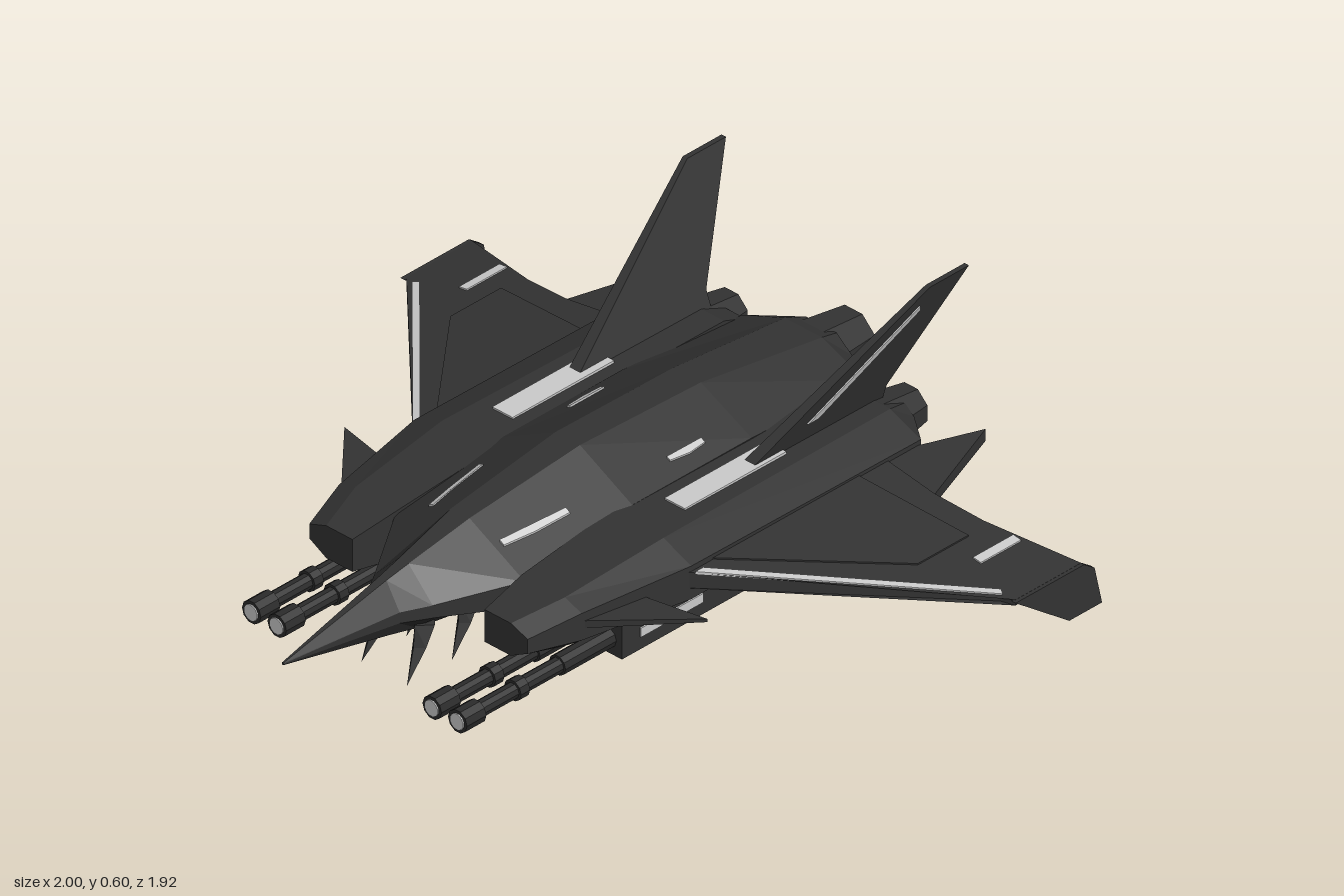
import * as THREE from 'three';

const material = (name, color) => {
  const m = new THREE.MeshStandardMaterial({ color, flatShading: true });
  m.name = name;
  return m;
};

export function createModel() {
  const model = new THREE.Group();
  model.name = 'starfighter';
  const hull = material('hullCharcoal', 0x333333);
  const dark = material('gunmetal', 0x2b2b2b);
  const light = material('lightGrey', 0xcccccc);

  const add = (name, geometry, mat, x = 0, y = 0, z = 0) => {
    const mesh = new THREE.Mesh(geometry, mat);
    mesh.name = name;
    mesh.position.set(x, y, z);
    model.add(mesh);
    return mesh;
  };

  // Closed solid through equal-sized rings; s mirrors x, winding follows the signed volume
  const solid = (rings, s = 1) => {
    const R = rings.map(r => r.map(([x, y, z]) => new THREE.Vector3(x * s, y, z)));
    const n = R[0].length, tris = [];
    for (let i = 0; i < R.length - 1; i++) {
      for (let j = 0; j < n; j++) {
        const k = (j + 1) % n;
        tris.push([R[i][j], R[i][k], R[i + 1][k]], [R[i][j], R[i + 1][k], R[i + 1][j]]);
      }
    }
    const end = R[R.length - 1];
    for (let j = 1; j < n - 1; j++) {
      tris.push([R[0][0], R[0][j + 1], R[0][j]], [end[0], end[j], end[j + 1]]);
    }
    const o = R[0][0], v = new THREE.Vector3();
    let volume = 0;
    for (const [a, b, c] of tris) {
      volume += a.clone().sub(o).dot(v.crossVectors(b.clone().sub(o), c.clone().sub(o)));
    }
    if (volume < 0) tris.forEach(t => t.reverse());
    const g = new THREE.BufferGeometry().setFromPoints(tris.flat());
    g.computeVertexNormals();
    return g;
  };

  // Horizontal slab over an [x, z] outline, between two height functions
  const slab = (outline, low, high, s) => solid([
    outline.map(([x, z]) => [x, low(x, z), z]),
    outline.map(([x, z]) => [x, high(x, z), z])], s);

  // Upright slab over a [y, z] outline, between two x functions
  const blade = (outline, inner, outer, s) => solid([
    outline.map(([y, z]) => [inner(y), y, z]),
    outline.map(([y, z]) => [outer(y), y, z])], s);

  const tube = (rFront, rBack, length, sides) =>
    new THREE.CylinderGeometry(rFront, rBack, length, sides).rotateY(Math.PI / sides).rotateX(Math.PI / 2);

  // Fuselage sections: z, ridge half width and y, shoulder half width and y, lower y, keel half width and y
  const body = [
    [0.955, 0.002, 0.192, 0.003, 0.19, 0.188, 0.002, 0.186],
    [0.62, 0.012, 0.27, 0.055, 0.2, 0.17, 0.03, 0.128],
    [0.55, 0.016, 0.286, 0.095, 0.205, 0.17, 0.045, 0.12],
    [0.36, 0.03, 0.33, 0.21, 0.235, 0.165, 0.07, 0.11],
    [0, 0.04, 0.37, 0.21, 0.28, 0.14, 0.08, 0.085],
    [-0.4, 0.045, 0.36, 0.21, 0.28, 0.14, 0.08, 0.085],
    [-0.79, 0.06, 0.31, 0.2, 0.255, 0.15, 0.08, 0.118],
    [-0.85, 0.05, 0.29, 0.1, 0.25, 0.16, 0.06, 0.13],
  ];
  add('fuselage', solid(body.map(([z, t, yt, w, ys, yl, b, yb]) => [
    [t, yt, z], [w, ys, z], [w, yl, z], [b, yb, z],
    [-b, yb, z], [-w, yl, z], [-w, ys, z], [-t, yt, z]])), hull);

  // Height of the sloping fuselage shoulder
  const shoulder = (x, z) => {
    const i = body.findIndex(r => r[0] <= z);
    const a = body[i - 1], b = body[i], f = (a[0] - z) / (a[0] - b[0]);
    const [, t, yt, w, ys] = a.map((v, k) => v + (b[k] - v) * f);
    return yt + (ys - yt) * (x - t) / (w - t);
  };

  // Centre engine
  add('centreEngine', tube(0.1, 0.075, 0.18, 8), hull, 0, 0.213, -0.868);
  add('centreExhaust', tube(0.066, 0.066, 0.004, 8), light, 0, 0.213, -0.959);

  for (const s of [1, -1]) {
    const side = s > 0 ? 'left' : 'right';
    const part = (name, geometry, mat, x = 0, y = 0, z = 0) => add(side + name, geometry, mat, s * x, y, z);

    // Engine nacelle: z, inner x, middle x, outer x, then four heights
    part('Nacelle', solid([
      [0.5, 0.215, 0.3, 0.355, 0.225, 0.205, 0.165, 0.135],
      [0.36, 0.2, 0.34, 0.395, 0.25, 0.23, 0.155, 0.115],
      [0.05, 0.19, 0.36, 0.45, 0.28, 0.242, 0.15, 0.11],
      [-0.72, 0.19, 0.35, 0.45, 0.275, 0.235, 0.155, 0.115],
      [-0.79, 0.19, 0.33, 0.36, 0.25, 0.225, 0.165, 0.13],
    ].map(([z, a, m, o, y1, y2, y3, y4]) => [
      [a, y1, z], [m, y1, z], [o, y2, z], [o, y3, z], [m, y4, z], [a, y4, z]]), s), hull);
    part('Engine', tube(0.08, 0.057, 0.13, 8), hull, 0.292, 0.2, -0.785);
    part('Exhaust', tube(0.05, 0.05, 0.004, 8), light, 0.292, 0.2, -0.851);
    part('NacellePanel', slab([[0.247, -0.07], [0.313, -0.07], [0.313, -0.41], [0.247, -0.41]],
      () => 0.276, () => 0.284, s), light);

    // Painted marks on the fuselage shoulders
    const low = (x, z) => shoulder(x, z) - 0.003, high = (x, z) => shoulder(x, z) + 0.005;
    part('FrontMark', slab([[0.108, 0.34], [0.123, 0.34], [0.138, 0.25], [0.148, 0.145], [0.134, 0.145], [0.124, 0.25]], low, high, s), light);
    part('RearMark', slab([[0.157, -0.17], [0.168, -0.17], [0.174, -0.23], [0.17, -0.285], [0.157, -0.285]], low, high, s), light);

    // Drooping tapered wing
    const mid = x => 0.205 - (x - 0.45) * 0.125;
    const half = x => 0.022 - (x - 0.45) * 0.026;
    const layer = (outline, extra) => slab(outline, x => mid(x) - half(x) - extra, x => mid(x) + half(x) + extra, s);
    const plate = outline => slab(outline, x => mid(x) + half(x) - 0.003, x => mid(x) + half(x) + 0.004, s);
    part('Wing', layer([[0.42, 0.085], [0.955, -0.465], [0.99, -0.48], [0.99, -0.7], [0.74, -0.63], [0.6, -0.61], [0.42, -0.61]], 0), hull);
    part('WingSpike', layer([[0.505, -0.88], [0.6, -0.61], [0.6, -0.58], [0.42, -0.58], [0.44, -0.68]], -0.004), hull);
    part('WingPanel', plate([[0.43, 0], [0.76, -0.39], [0.76, -0.56], [0.43, -0.51]]), hull);
    part('WingEdgeStripe', plate([[0.46, 0.046], [0.96, -0.468], [0.945, -0.478], [0.46, 0.02]]), light);
    part('WingMark', plate([[0.823, -0.51], [0.848, -0.51], [0.848, -0.645], [0.823, -0.645]]), light);
    part('Winglet', blade([[0.145, -0.47], [0.145, -0.7], [0.12, -0.735], [0.012, -0.76], [0.012, -0.65], [0.11, -0.53]],
      () => 0.986, () => 1, s), hull);

    // Canard beside the nacelle nose
    part('Canard', slab([[0.37, 0.38], [0.59, 0.14], [0.44, 0.175], [0.37, 0.19]],
      x => 0.185 + (x - 0.37) * 0.03, x => 0.207 - (x - 0.37) * 0.03, s), hull);

    // Outward-canted tail fin with an outer stripe
    const fx = y => 0.283 + (y - 0.28) * 0.35;
    const ft = y => 0.018 - (y - 0.26) * 0.032;
    part('TailFin', blade([[0.26, -0.28], [0.6, -0.8], [0.6, -0.93], [0.31, -0.75], [0.26, -0.75]],
      y => fx(y) - ft(y), y => fx(y) + ft(y), s), hull);
    part('FinStripe', blade([[0.332, -0.475], [0.55, -0.78], [0.535, -0.785], [0.332, -0.51]],
      y => fx(y) + ft(y) - 0.003, y => fx(y) + ft(y) + 0.004, s), light);

    // Gun pod with twin barrels
    part('GunPod', new THREE.BoxGeometry(0.17, 0.1, 0.42), hull, 0.295, 0.075, 0);
    part('GunPodStripe', new THREE.BoxGeometry(0.006, 0.025, 0.21), light, 0.381, 0.073, 0.045);
    part('GunPodHatch', new THREE.BoxGeometry(0.09, 0.006, 0.1), dark, 0.295, 0.025, -0.02);
    for (const x of [0.252, 0.335]) {
      part('Barrel', tube(0.021, 0.021, 0.46, 10), dark, x, 0.068, 0.43);
      part('BarrelSleeve', tube(0.027, 0.027, 0.18, 10), dark, x, 0.068, 0.29);
      part('BarrelCollar', tube(0.028, 0.028, 0.03, 10), dark, x, 0.068, 0.515);
      part('Muzzle', tube(0.031, 0.031, 0.065, 10), dark, x, 0.068, 0.682);
      part('MuzzleFace', tube(0.022, 0.022, 0.004, 12), light, x, 0.068, 0.716);
    }

    // Three forward-raked fangs under the chin
    for (const z of [0.54, 0.39, 0.25]) {
      const tip = [0.074, 0.002, z + 0.075];
      part('Fang', solid([
        [[0.03, 0.145, z], [0.06, 0.145, z + 0.035], [0.092, 0.145, z], [0.06, 0.145, z - 0.035]],
        [[0.045, 0.09, z + 0.025], [0.066, 0.09, z + 0.045], [0.088, 0.09, z + 0.025], [0.066, 0.09, z + 0.005]],
        [tip, tip, tip, tip]], s), hull);
    }
  }
  return model;
}
